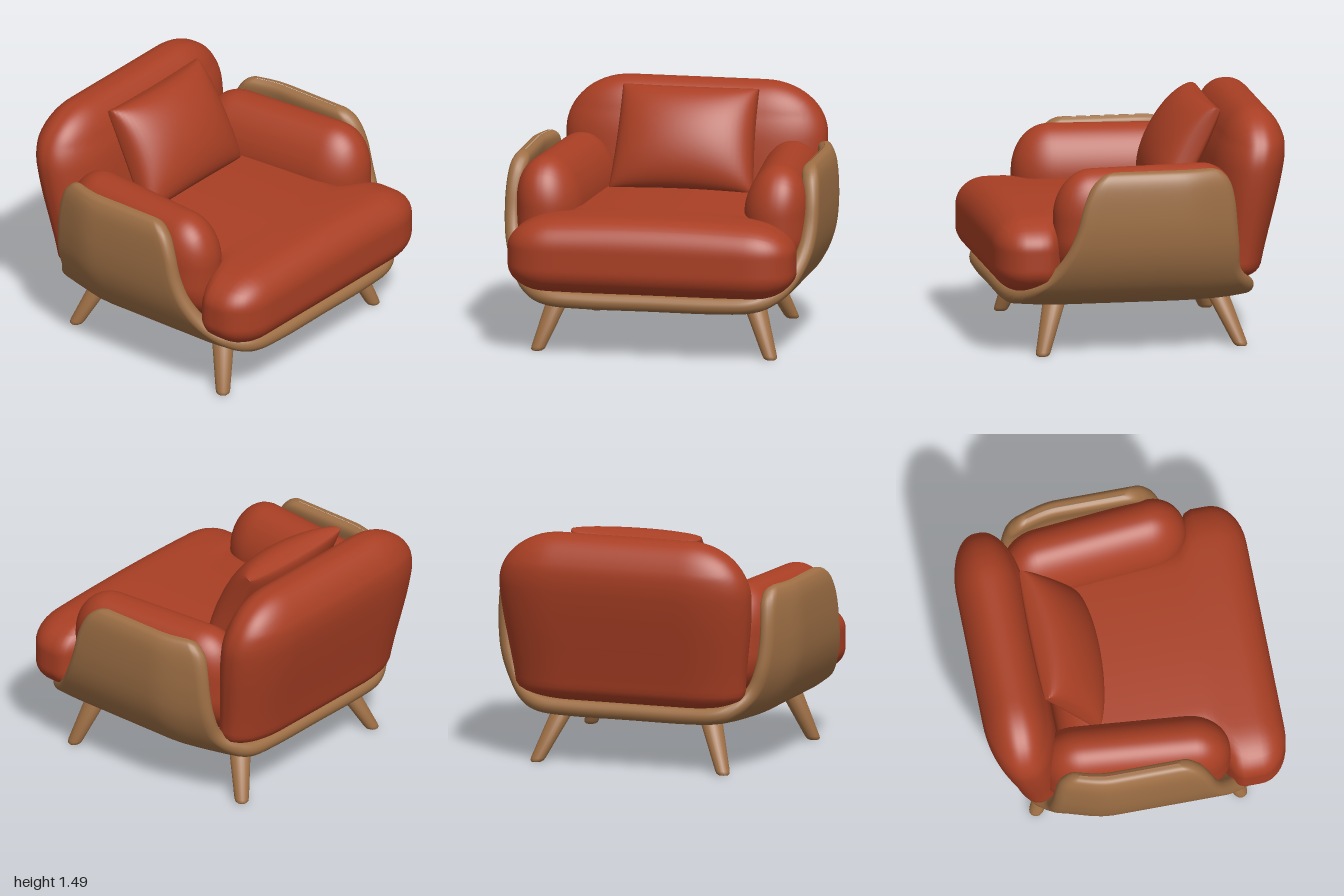
import * as THREE from 'three';
import { mergeVertices } from 'three/addons/utils/BufferGeometryUtils.js';

const smooth = (v, a, b) => THREE.MathUtils.smoothstep(v, a, b);

// Box grid reshaped by a rule on each vertex, then welded for smooth normals
function reshapedBox(nx, ny, nz, rule) {
  const box = new THREE.BoxGeometry(2, 2, 2, nx, ny, nz);
  box.deleteAttribute('normal');
  box.deleteAttribute('uv');
  const pos = box.attributes.position;
  const p = new THREE.Vector3();
  for (let i = 0; i < pos.count; i++) {
    p.fromBufferAttribute(pos, i);
    rule(p);
    pos.setXYZ(i, p.x, p.y, p.z);
  }
  const geo = mergeVertices(box, 1e-5);
  geo.computeVertexNormals();
  return geo;
}

// Stuffed cushion: half sizes, corner radii (own y radius for top and bottom), then a bend
function cushion([hx, hy, hz], [rx, rTop, rBottom, rz], bend) {
  const n = 32;
  const c = new THREE.Vector3();
  return reshapedBox(n, n, n, (p) => {
    p.set(p.x * hx, p.y * hy, p.z * hz);
    const ry = p.y > 0 ? rTop : rBottom;
    c.set(
      THREE.MathUtils.clamp(p.x, rx - hx, hx - rx),
      THREE.MathUtils.clamp(p.y, rBottom - hy, hy - rTop),
      THREE.MathUtils.clamp(p.z, rz - hz, hz - rz)
    );
    p.sub(c);
    p.set(p.x / rx, p.y / ry, p.z / rz).normalize();
    p.set(c.x + p.x * rx, c.y + p.y * ry, c.z + p.z * rz);
    bend(p);
  });
}

// Wooden shell: a U-shaped ribbon with rounded rims, swept from one arm top to the other
function shellGeometry() {
  // x, y, front z, back z, half thickness
  const half = [
    [0, 0.345, 0.88, -0.73, 0.052], [0.42, 0.345, 0.88, -0.73, 0.052],
    [0.66, 0.36, 0.86, -0.72, 0.052], [0.79, 0.42, 0.77, -0.67, 0.05],
    [0.875, 0.53, 0.63, -0.6, 0.05], [0.93, 0.67, 0.53, -0.585, 0.05],
    [0.95, 0.82, 0.465, -0.57, 0.05], [0.95, 0.97, 0.425, -0.555, 0.05],
    [0.935, 1.08, 0.38, -0.53, 0.055], [0.92, 1.14, 0.33, -0.49, 0.05],
    [0.912, 1.172, 0.28, -0.45, 0.034], [0.908, 1.187, 0.22, -0.4, 0.001],
  ];
  const rows = [...half.slice(1).reverse().map(([x, ...r]) => [-x, ...r]), ...half];
  const path = new THREE.CatmullRomCurve3(
    rows.map((r) => new THREE.Vector3(r[0], r[1], r[2])), false, 'catmullrom');
  const rim = new THREE.CatmullRomCurve3(
    rows.map((r) => new THREE.Vector3(r[3], r[4], 0)), false, 'catmullrom');

  // Ring outline: [side of the ribbon 0..1 from back to front, rim cos, rim sin]
  const ring = [];
  const arc = 8, flat = 16;
  for (let i = 0; i <= arc; i++) {
    const a = -Math.PI / 2 + (i / arc) * Math.PI;
    ring.push([1, Math.cos(a), Math.sin(a)]);
  }
  for (let i = 1; i < flat; i++) ring.push([1 - i / flat, 0, 1]);
  for (let i = 0; i <= arc; i++) {
    const a = Math.PI / 2 + (i / arc) * Math.PI;
    ring.push([0, Math.cos(a), Math.sin(a)]);
  }
  for (let i = 1; i < flat; i++) ring.push([i / flat, 0, -1]);

  const steps = 110, k = ring.length, verts = [], index = [];
  for (let i = 0; i <= steps; i++) {
    const t = i / steps;
    const p = path.getPoint(t);
    const e = rim.getPoint(t);
    const d = path.getPoint(Math.min(1, t + 0.002)).sub(path.getPoint(Math.max(0, t - 0.002)));
    const len = Math.hypot(d.x, d.y);
    const th = Math.max(e.y, 0.001);
    for (const [f, c, s] of ring) {
      const z = THREE.MathUtils.lerp(e.x + th, p.z - th, f) + c * th;
      const x = p.x + (d.y / len) * s * th;
      const y = p.y - (d.x / len) * s * th;
      // sides curve inward at the back, floor lifts slightly at both rims
      const low = 1 - smooth(y, 0.4, 0.6);
      verts.push(
        x * (1 - 0.1 * smooth(-z, 0.2, 0.65)),
        y + low * (0.02 * smooth(z, 0.55, 0.9) + 0.025 * smooth(-z, 0.5, 0.75)),
        z
      );
    }
    if (i === steps) continue;
    for (let j = 0; j < k; j++) {
      const a = i * k + j, b = i * k + ((j + 1) % k);
      index.push(a, b, a + k, b, b + k, a + k);
    }
  }
  const geo = new THREE.BufferGeometry();
  geo.setAttribute('position', new THREE.Float32BufferAttribute(verts, 3));
  geo.setIndex(index);
  geo.computeVertexNormals();
  return geo;
}

export function createModel() {
  const fabric = new THREE.MeshStandardMaterial({ color: 0xa93f24 });
  fabric.name = 'rust fabric';
  const wood = new THREE.MeshStandardMaterial({ color: 0x9e6f45 });
  wood.name = 'light wood';

  const model = new THREE.Group();
  model.name = 'armchair';
  const add = (name, geo, mat) => {
    const mesh = new THREE.Mesh(geo, mat);
    mesh.name = name;
    model.add(mesh);
    return mesh;
  };

  add('shell', shellGeometry(), wood);

  // Seat: wide front roll, narrower where it passes between the arms
  add('seatCushion', cushion([0.91, 0.248, 0.7], [0.28, 0.2, 0.17, 0.2], (p) => {
    if (p.y > 0) p.y -= 0.035 * (p.x / 0.91) ** 2 * (p.y / 0.248);
    p.y += 0.648;
    p.z += 0.25;
    p.x *= 1 - 0.22 * (1 - smooth(p.z, 0.48, 0.63));
  }), fabric);

  // Backrest: leans back, thinner and narrower toward the bottom
  add('backCushion', cushion([0.83, 0.54, 0.215], [0.4, 0.34, 0.1, 0.2], (p) => {
    const h = (p.y + 0.54) / 1.08;
    p.x *= 0.91 + 0.09 * smooth(h, 0, 0.7);
    p.z = p.z * (0.8 + 0.2 * smooth(h, 0, 0.7)) - 0.6 - 0.135 * Math.min(1, h / 0.82);
    p.y += 0.95;
  }), fabric);

  // Arm cushions, splayed outward at the front
  for (const side of [1, -1]) {
    add(side > 0 ? 'leftArmCushion' : 'rightArmCushion',
      cushion([0.205, 0.37, 0.595], [0.2, 0.3, 0.2, 0.24], (p) => {
        p.y += 0.812;
        p.z -= 0.015;
        p.x += 0.69 + 0.09 * p.z - 0.1 * (1 - smooth(p.y, 0.45, 0.75));
        p.x += 0.02 * smooth(p.y, 0.85, 1.18);
        p.x *= side;
        if (side < 0) p.z += 0;
      }), fabric);
  }
  // Restore outward faces on the mirrored arm
  const mirrored = model.getObjectByName('rightArmCushion').geometry;
  mirrored.setIndex(Array.from(mirrored.index.array).reverse());
  mirrored.computeVertexNormals();

  // Throw pillow: bulging front, flatter back, leaning on the backrest
  const pillow = add('throwPillow', reshapedBox(28, 28, 1, (p) => {
    const u = Math.sin(p.x * Math.PI / 2), v = Math.sin(p.y * Math.PI / 2);
    const puff = Math.pow(Math.max(0, (1 - u * u) * (1 - v * v)), 0.4);
    const depth = p.z > 0 ? 0.012 + 0.205 * puff : -0.012 - 0.08 * puff;
    p.set(
      u * (0.447 - 0.015 * v) * (1 - 0.03 * (1 - v * v)),
      v * 0.345 * (1 - 0.03 * (1 - u * u)),
      depth
    );
  }), fabric);
  pillow.position.set(0, 1.165, -0.365);
  pillow.rotation.x = -0.48;

  // Tapered, splayed legs with softened feet
  const profile = [[0, 0], [0.032, 0], [0.042, 0.008], [0.046, 0.025], [0.075, 0.37], [0, 0.37]]
    .map(([x, y]) => new THREE.Vector2(x, y));
  const legs = [['front', 0.745, 0.65, 0.125, 0.1], ['back', 0.625, -0.635, 0.14, -0.14]];
  for (const [place, x, z, dx, dz] of legs) {
    for (const side of [1, -1]) {
      const geo = new THREE.LatheGeometry(profile, 24);
      // slant by shear so the feet stay flat on the floor
      geo.applyMatrix4(new THREE.Matrix4().set(
        1, -side * dx / 0.34, 0, 0, 0, 1, 0, 0, 0, -dz / 0.34, 1, 0, 0, 0, 0, 1));
      add(place + (side > 0 ? 'LeftLeg' : 'RightLeg'), geo, wood).position.set(side * x, 0, z);
    }
  }
  return model;
}
